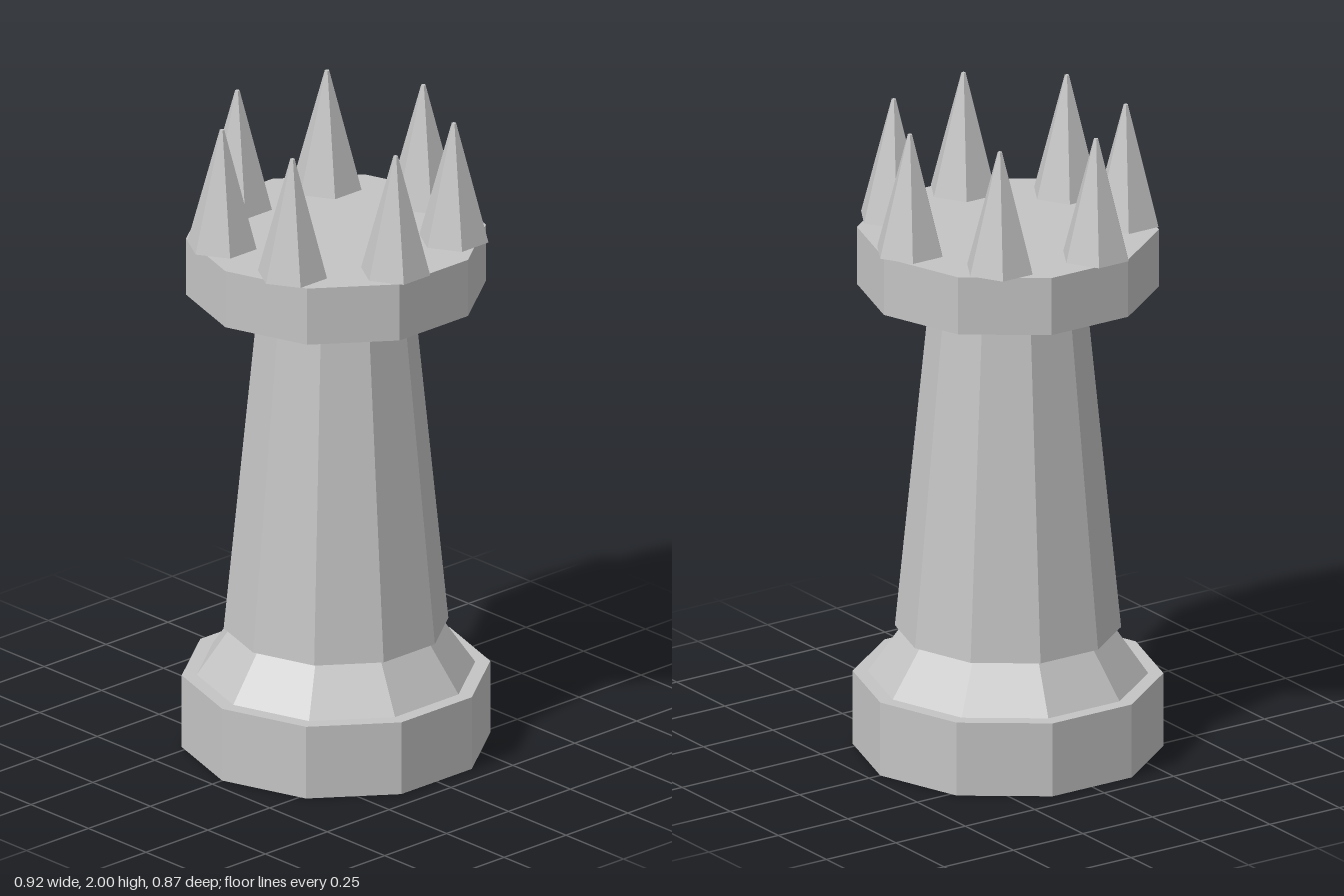
import * as THREE from 'three';

export function createModel() {
  const model = new THREE.Group();
  const stone = new THREE.MeshStandardMaterial({ color: 0xc4c4c4, flatShading: true });
  stone.name = 'grey stone';

  // Faceted, tapered drum with a corner pointing along +x
  function drum(name, sides, rBottom, rTop, y0, y1) {
    const geo = new THREE.CylinderGeometry(rTop, rBottom, y1 - y0, sides);
    geo.rotateY(Math.PI / 2);
    geo.translate(0, (y0 + y1) / 2, 0);
    const mesh = new THREE.Mesh(geo, stone);
    mesh.name = name;
    return mesh;
  }

  // Tower, from the ground up
  model.add(
    drum('base', 10, 0.46, 0.46, 0, 0.23),
    drum('collar', 10, 0.415, 0.315, 0.23, 0.375),
    drum('shaft', 10, 0.335, 0.229, 0.375, 1.45),
    drum('platform', 10, 0.447, 0.447, 1.45, 1.63)
  );

  // Ring of seven spikes
  const spikes = new THREE.Group();
  spikes.name = 'spikes';
  for (let i = 0; i < 7; i++) {
    const a = (i / 7) * Math.PI * 2;
    const spike = drum('spike', 6, 0.107, 0.007, 1.63, 2);
    spike.position.set(0.353 * Math.cos(a), 0, 0.353 * Math.sin(a));
    spikes.add(spike);
  }
  model.add(spikes);
  return model;
}
